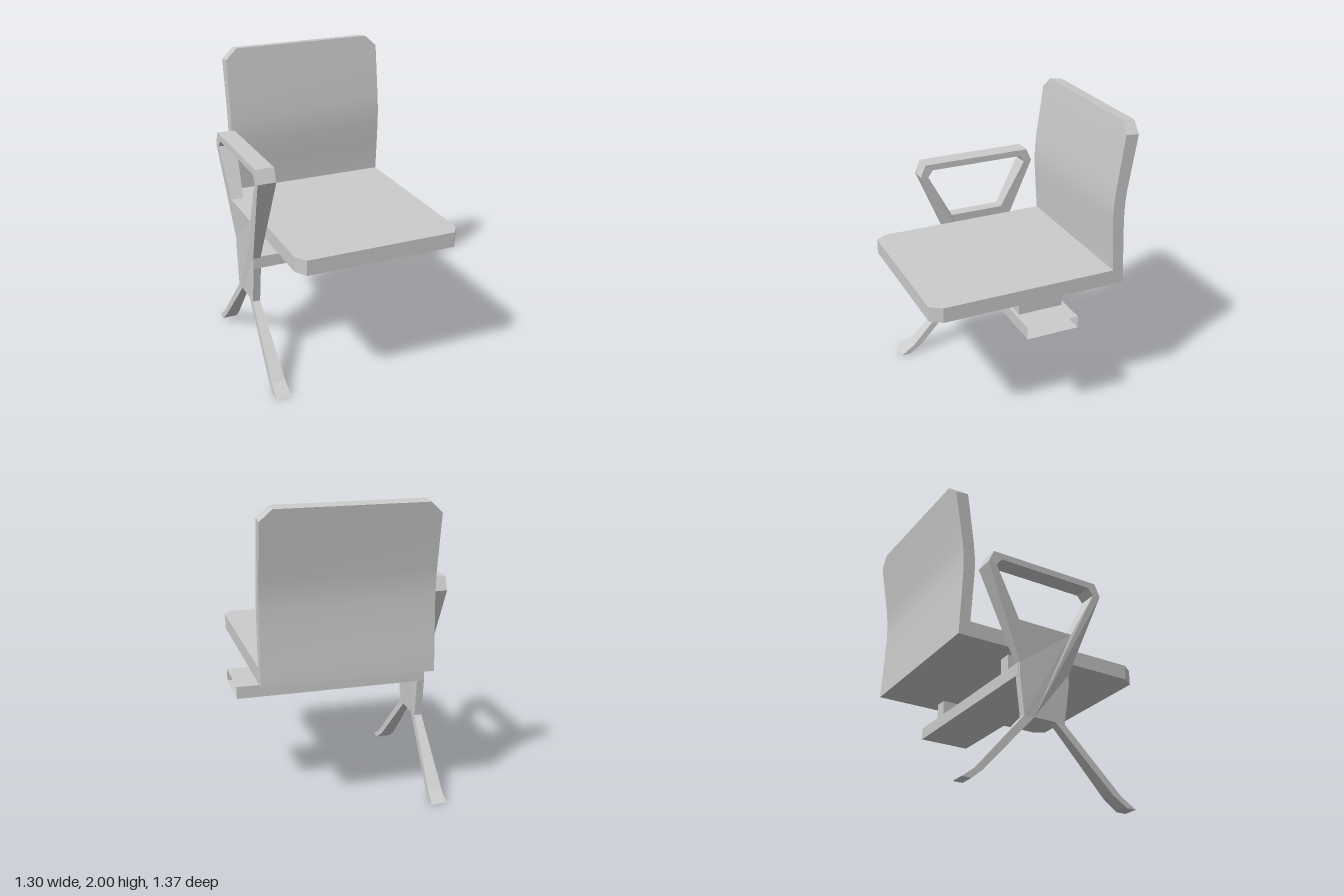
import * as THREE from 'three';
import { toCreasedNormals } from 'three/addons/utils/BufferGeometryUtils.js';

const grey = new THREE.MeshStandardMaterial({ color: 0xcccccc });
const greyBoth = new THREE.MeshStandardMaterial({ color: 0xcccccc, side: THREE.DoubleSide });

const CENTRE_X = 0.017; // middle of seat and back
const HALF_W = 0.55;

const points = (list) => list.map(([a, b]) => new THREE.Vector2(a, b));

function addMesh(group, name, geometry, material = grey) {
  const mesh = new THREE.Mesh(geometry, material);
  mesh.name = name;
  group.add(mesh);
  return mesh;
}

function boxBetween(x0, x1, y0, y1, z0, z1) {
  return new THREE.BoxGeometry(x1 - x0, y1 - y0, z1 - z0)
    .translate((x0 + x1) / 2, (y0 + y1) / 2, (z0 + z1) / 2);
}

// Flat slab with clipped front corners
function seatGeometry() {
  const w = HALF_W;
  const shape = new THREE.Shape(points([
    [-w, -0.557], [w, -0.557], [w, 0.61], [w - 0.05, 0.685], [-w + 0.05, 0.685], [-w, 0.61],
  ]));
  return new THREE.ExtrudeGeometry(shape, { depth: 0.1, bevelEnabled: false })
    .rotateX(Math.PI / 2).translate(CENTRE_X, 1.02, 0);
}

// Bent panel lofted upwards; rows are [front y, front z, back y, back z, half width]
function backGeometry() {
  const rows = [
    [0.92, -0.557, 0.92, -0.635, HALF_W],
    [1.02, -0.557, 1.02, -0.63, HALF_W],
    [1.22, -0.543, 1.22, -0.618, HALF_W],
    [1.38, -0.532, 1.38, -0.611, HALF_W],
    [1.48, -0.533, 1.47, -0.612, HALF_W],
    [1.58, -0.542, 1.57, -0.621, HALF_W],
    [1.93, -0.589, 1.92, -0.676, HALF_W],
    [2.0, -0.599, 1.99, -0.686, HALF_W - 0.077],
  ];
  const position = [];
  const index = [];
  rows.forEach(([fy, fz, by, bz, w], r) => {
    position.push(-w, fy, fz, w, fy, fz, w, by, bz, -w, by, bz);
    if (r === 0) return;
    for (let i = 0; i < 4; i++) {
      const j = (i + 1) % 4;
      const lo = (r - 1) * 4;
      const hi = r * 4;
      index.push(lo + i, lo + j, hi + j, lo + i, hi + j, hi + i);
    }
  });
  const top = (rows.length - 1) * 4;
  index.push(top, top + 1, top + 2, top, top + 2, top + 3);
  index.push(0, 2, 1, 0, 3, 2);
  const geometry = new THREE.BufferGeometry();
  geometry.setAttribute('position', new THREE.Float32BufferAttribute(position, 3));
  geometry.setIndex(index);
  return toCreasedNormals(geometry.translate(CENTRE_X, 0, 0), 0.5);
}

// Thickness of the side frame at a given height
function frameWidth(y) {
  const lerp = THREE.MathUtils.lerp;
  if (y < 0.456) return lerp(0.1, 0.05, y / 0.456);
  if (y < 0.79) return 0.05;
  return lerp(0.05, 0.12, Math.min(1, (y - 0.79) / 0.6));
}

// Arm loop, hub and two splayed legs in one outline of [z, y]
function sideFrameGeometry() {
  const shape = new THREE.Shape(points([
    [0.297, 1.48], [0.334, 1.395], [0.09, 0.79], [0.09, 0.715], [0.05, 0.456],
    [0.435, 0.064], [0.535, 0], [0.467, 0], [0.372, 0.064], [-0.016, 0.456],
    [-0.166, 0.456], [-0.52, 0.064], [-0.594, 0], [-0.657, 0], [-0.575, 0.064],
    [-0.235, 0.456], [-0.262, 0.715], [-0.262, 0.79], [-0.504, 1.395], [-0.467, 1.48],
  ]));
  shape.holes.push(new THREE.Path(points([
    [0.244, 1.437], [-0.41, 1.437], [-0.447, 1.39], [-0.276, 1.066], [0.106, 1.066], [0.28, 1.39],
  ])));
  const geometry = new THREE.ExtrudeGeometry(shape, { depth: 1, bevelEnabled: false })
    .rotateY(-Math.PI / 2);
  const p = geometry.attributes.position;
  for (let i = 0; i < p.count; i++) {
    p.setX(i, -0.594 + (p.getX(i) + 0.5) * frameWidth(p.getY(i)));
  }
  geometry.computeVertexNormals();
  return geometry;
}

// Channel beam, open at its outer end
function beamGeometry() {
  const geometry = boxBetween(-0.6, 0.65, 0.715, 0.795, -0.265, 0.088);
  geometry.setIndex(Array.from(geometry.index.array).slice(6));
  return geometry;
}

export function createModel() {
  const model = new THREE.Group();
  model.name = 'beamChair';

  addMesh(model, 'seat', seatGeometry());
  addMesh(model, 'backrest', backGeometry());
  addMesh(model, 'sideFrame', sideFrameGeometry());
  addMesh(model, 'beam', beamGeometry(), greyBoth);

  // Blocks joining the seat to the beam
  [[-0.445, 'rightBracket'], [0.395, 'leftBracket']].forEach(([x, name]) => {
    addMesh(model, name, boxBetween(x, x + 0.083, 0.79, 0.925, -0.237, 0.066));
  });

  return model;
}
